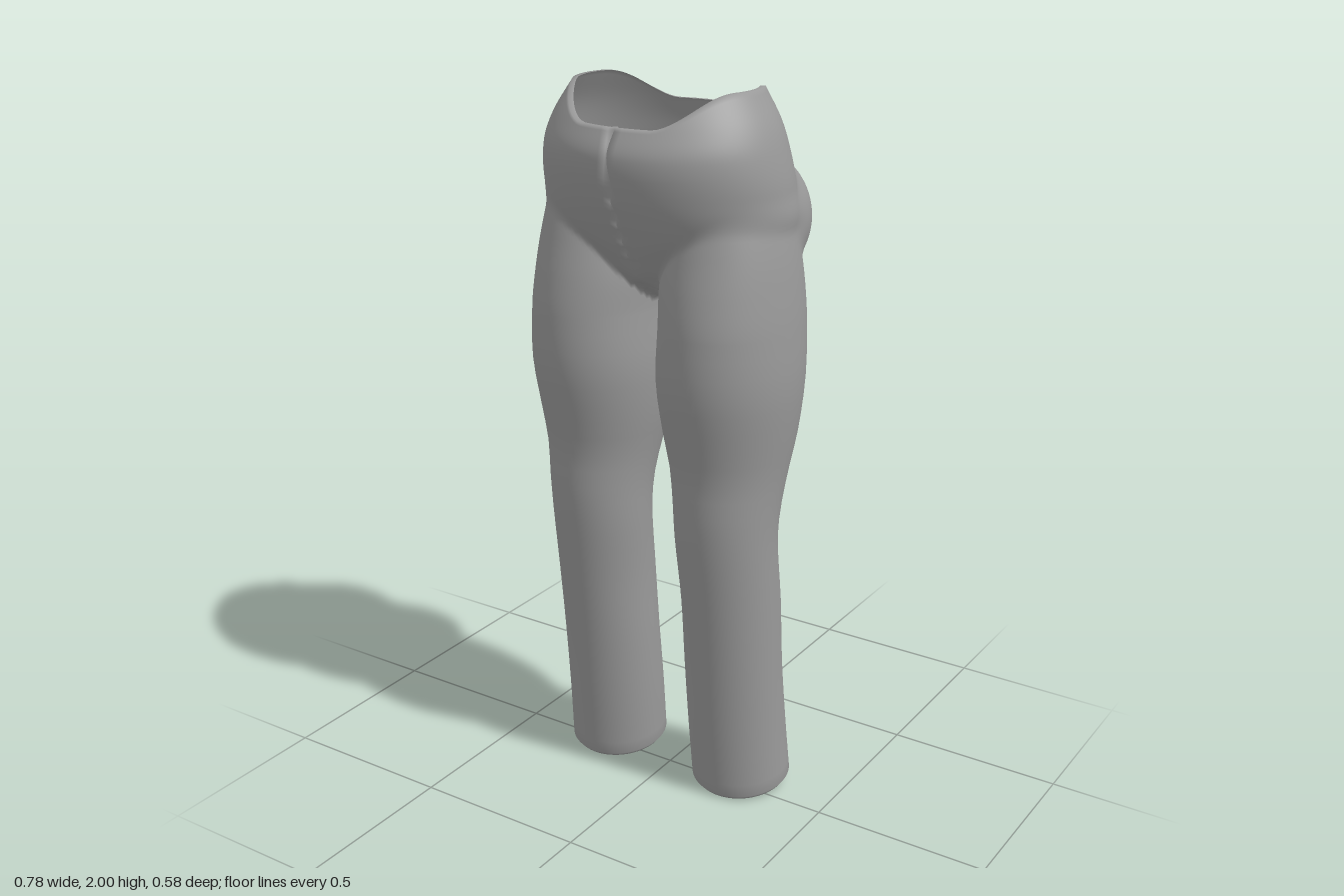
import * as THREE from 'three';
import { mergeVertices } from 'three/addons/utils/BufferGeometryUtils.js';

// Leg sections: height, inner x, outer x, front z, back z
const LEG = [
  [0, .073, .355, .09, -.19], [.2, .07, .348, .11, -.168], [.4, .07, .345, .13, -.145],
  [.6, .072, .345, .153, -.13], [.8, .065, .345, .178, -.105], [.9, .06, .35, .186, -.12],
  [1, .045, .36, .188, -.15], [1.1, .025, .375, .207, -.182], [1.25, .012, .39, .235, -.203],
  [1.4, .02, .385, .236, -.21], [1.5, .02, .376, .224, -.205], [1.6, .03, .362, .203, -.19],
  [1.7, .05, .34, .18, -.18], [1.85, .08, .29, .15, -.15], [2, .1, .22, .1, -.1],
];
// Hip sections: height, half width, front z, back z
const HIPS = [
  [1.44, .01, .04, -.08], [1.5, .1, .14, -.18], [1.58, .24, .198, -.23], [1.65, .345, .235, -.262],
  [1.75, .349, .275, -.26], [1.85, .332, .29, -.245], [1.92, .308, .262, -.222], [2, .26, .215, -.19],
];

// Smooth interpolation of a section table at height y
function sample(table, y) {
  const n = table.length;
  let i = 0;
  while (i < n - 2 && y > table[i + 1][0]) i++;
  const a = table[i], b = table[i + 1], p = table[Math.max(i - 1, 0)], q = table[Math.min(i + 2, n - 1)];
  const h = b[0] - a[0], t = THREE.MathUtils.clamp((y - a[0]) / h, 0, 1);
  return a.slice(1).map((_, k) => {
    const c = k + 1;
    const ma = (b[c] - p[c]) / (b[0] - p[0]) * h, mb = (q[c] - a[c]) / (q[0] - a[0]) * h;
    const t2 = t * t, t3 = t2 * t;
    return (2 * t3 - 3 * t2 + 1) * a[c] + (t3 - 2 * t2 + t) * ma + (3 * t2 - 2 * t3) * b[c] + (t3 - t2) * mb;
  });
}

// Far distance at which a ray leaves an ellipse, or 0 when it misses
function exit(ox, oz, dx, dz, cx, cz, rx, rz) {
  const px = (ox - cx) / rx, pz = (oz - cz) / rz, vx = dx / rx, vz = dz / rz;
  const a = vx * vx + vz * vz, b = px * vx + pz * vz, d = b * b - a * (px * px + pz * pz - 1);
  return d > 0 ? Math.max(0, (-b + Math.sqrt(d)) / a) : 0;
}

function blend(a, b, k) {
  const h = Math.max(k - Math.abs(a - b), 0) / k;
  return Math.max(a, b) + h * h * k / 4;
}

// Outline of the left half at height y, along one direction from the leg's axis
function outline(y, angle, scale = 1) {
  const [xi, xo, zf, zb] = sample(LEG, y);
  const cx = (xi + xo) / 2, cz = (zf + zb) / 2;
  const dx = Math.cos(angle), dz = Math.sin(angle);
  let r = exit(cx, cz, dx, dz, cx, cz, (xo - xi) / 2, (zf - zb) / 2);
  if (y > 1.44) {
    const [w, f, b] = sample(HIPS, y);
    r = blend(r, exit(cx, cz, dx, dz, 0, (f + b) / 2, w, (f - b) / 2), .015);
    // Rounded seat
    const s = 1 - ((y - 1.65) / .19) ** 2;
    if (s > 0) {
      const q = .19 * Math.sqrt(s);
      r = blend(r, exit(cx, cz, dx, dz, .15, -.1, q, q), .02);
    }
  }
  r *= scale;
  // The halves meet at the centre plane
  if (cx + r * dx < 1e-4) return [0, cz + dz * cx / -dx];
  return [cx + r * dx, cz + r * dz];
}

function trouserGeometry() {
  const SEG = 112, rows = [[0, .54], [0, .94], [.012, 1]];
  for (let y = .05; y < 1.4; y += .05) rows.push([y, 1]);
  for (let y = 1.4; y < 2.001; y += .0125) rows.push([y, 1]);
  rows.push([2, 1, .95]); // turned-in waist edge
  const pos = [], index = [];
  for (const side of [1, -1]) {
    const base = pos.length / 3;
    for (const [row, scale, roll = 1] of rows) {
      for (let j = 0; j < SEG; j++) {
        const angle = j / SEG * Math.PI * 2;
        let y = row;
        if (y > 1.8) {
          // Waist dips at front and back, rises at the sides
          const top = 1.92 + .08 * THREE.MathUtils.smoothstep(outline(2, angle)[0], .1, .25);
          y = 1.8 + (y - 1.8) * (top - 1.8) / .2;
        }
        const [x, z] = outline(y, angle, scale);
        // Slanted hem
        y += (.09 - z) * .125 * Math.max(0, 1 - y / .4);
        pos.push(side * x * roll, y, z * roll);
      }
    }
    for (let i = 0; i < rows.length - 1; i++) {
      for (let j = 0; j < SEG; j++) {
        const a = base + i * SEG + j, c = base + i * SEG + (j + 1) % SEG, b = a + SEG, d = c + SEG;
        for (const t of [[a, b, c], [c, b, d]]) {
          if (t.every(v => pos[v * 3] === 0)) continue; // open inside along the centre
          index.push(...(side > 0 ? t : t.reverse()));
        }
      }
    }
  }
  let g = new THREE.BufferGeometry();
  g.setAttribute('position', new THREE.Float32BufferAttribute(pos, 3));
  g.setIndex(index);
  g = mergeVertices(g, 1e-4);
  g.computeVertexNormals();
  return g;
}

export function createModel() {
  const group = new THREE.Group();
  group.name = 'trousers';
  const cloth = new THREE.MeshStandardMaterial({ color: 0x999999, side: THREE.DoubleSide });
  cloth.name = 'grey cloth';
  const mesh = new THREE.Mesh(trouserGeometry(), cloth);
  mesh.name = 'trouserShell';
  group.add(mesh);
  return group;
}
